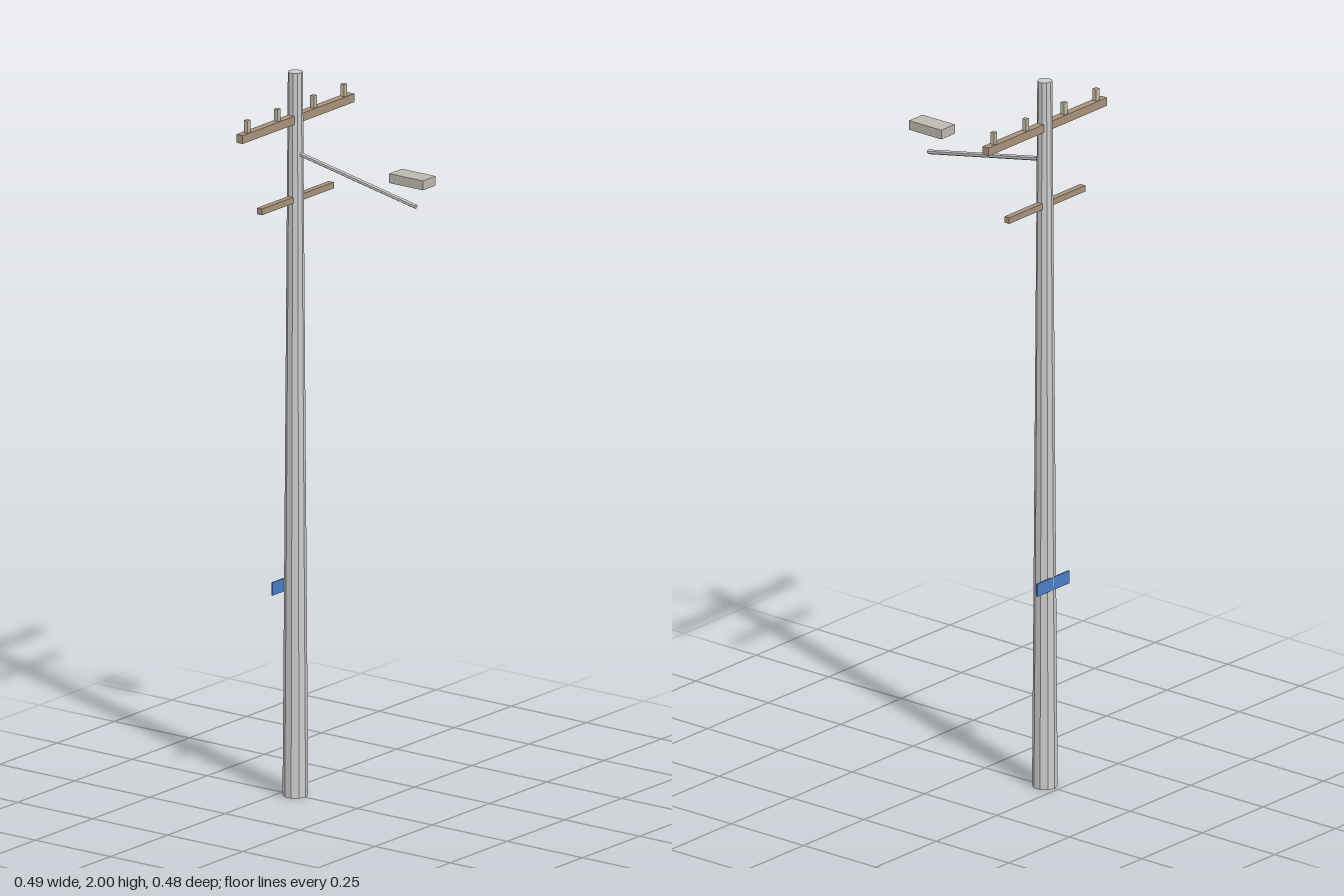
import * as THREE from 'three';

const POLE_Z = -0.206;

const material = (color) => new THREE.MeshStandardMaterial({ color, flatShading: true });

export function createModel() {
  const model = new THREE.Group();
  const grey = material(0xcccccc);
  const wood = material(0xa8937c);
  const ceramic = material(0xc4b8a4);
  const blue = material(0x4a7fc8);

  const add = (name, geometry, mat, x, y, z) => {
    const mesh = new THREE.Mesh(geometry, mat);
    mesh.name = name;
    mesh.position.set(x, y, z);
    model.add(mesh);
    return mesh;
  };

  // Tapered ten-sided pole
  add('pole', new THREE.CylinderGeometry(0.02, 0.034, 2, 10), grey, 0, 1, POLE_Z);

  // Two crossarms
  add('upperCrossarm', new THREE.BoxGeometry(0.488, 0.023, 0.021), wood, 0, 1.871, POLE_Z);
  add('lowerCrossarm', new THREE.BoxGeometry(0.314, 0.017, 0.017), wood, 0, 1.65, POLE_Z);

  // Insulator pegs on the upper crossarm
  for (const x of [-0.211, -0.079, 0.079, 0.211]) {
    add('insulator', new THREE.BoxGeometry(0.013, 0.034, 0.012), ceramic, x, 1.899, POLE_Z);
  }

  // Sloping lamp arm, from inside the pole down to its free end
  const start = new THREE.Vector3(0, 1.778, POLE_Z);
  const end = new THREE.Vector3(0, 1.699, 0.196);
  const arm = add('lampArm', new THREE.CylinderGeometry(0.0065, 0.0065, start.distanceTo(end), 6), grey, 0, 0, 0);
  arm.position.copy(start).lerp(end, 0.5);
  arm.quaternion.setFromUnitVectors(new THREE.Vector3(0, 1, 0), end.clone().sub(start).normalize());

  // Flat lamp head above the end of the arm
  add('lampHead', new THREE.BoxGeometry(0.056, 0.026, 0.112), material(0xbdb8b0), 0, 1.772, 0.184);

  // Thin sign plate on the back of the pole
  add('signPlate', new THREE.BoxGeometry(0.133, 0.036, 0.004), blue, 0, 0.58, -0.2335);

  return model;
}
